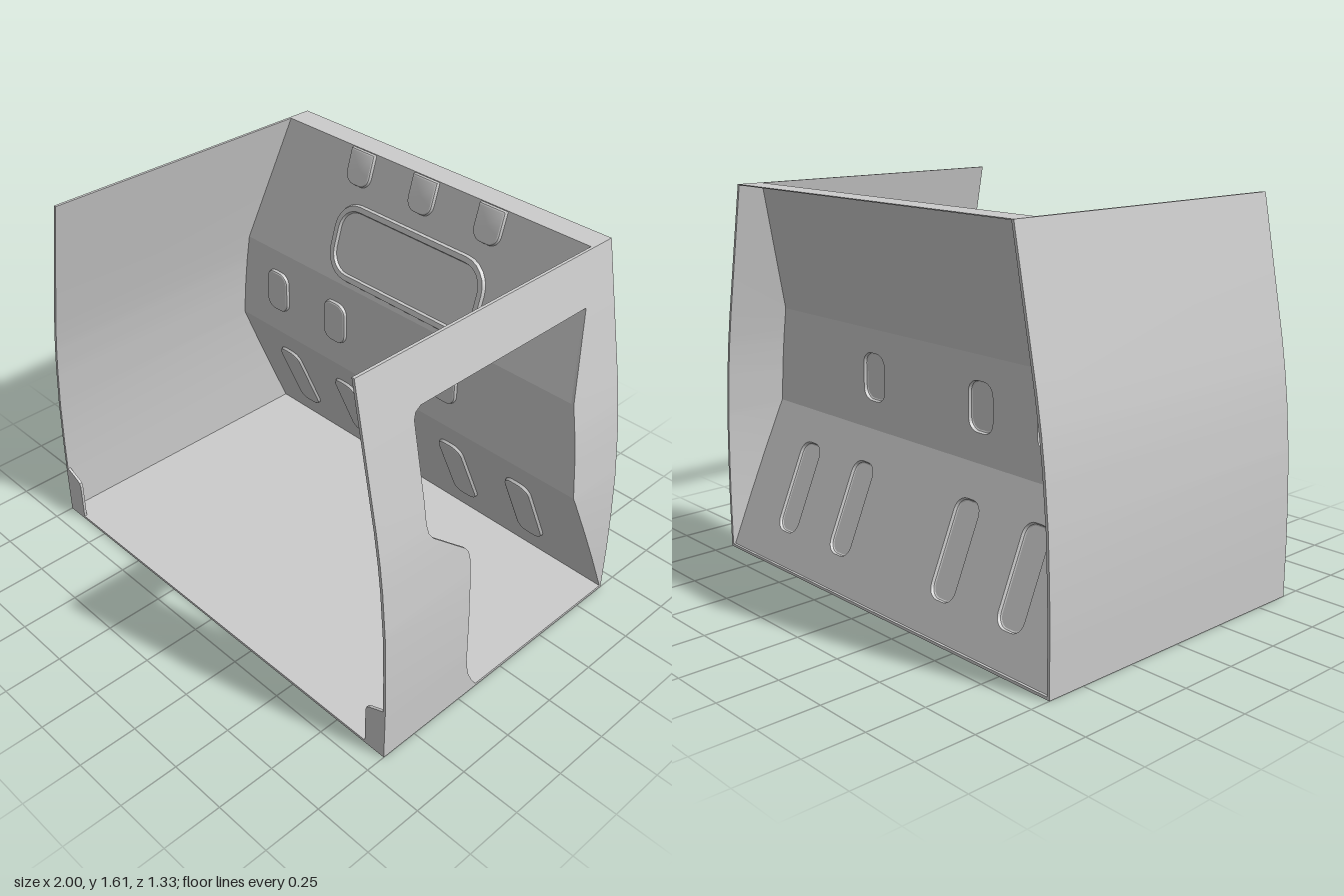
import * as THREE from 'three';
import { toCreasedNormals } from 'three/addons/utils/BufferGeometryUtils.js';

const D = 0.665;      // half depth
const H = 1.61;       // height
const T = 0.012;      // sheet thickness
const WALL = [[0, 1], [0.23, 1], [0.4, 0.996], [0.6, 0.987], [0.8, 0.968], [0.92, 0.952], [1.05, 0.93], [H, 0.817]];
const BACK = [[0, -0.66], [0.63, -0.39], [1.05, -0.39], [H, -0.557]];
const DOOR = [[0.012, 0.15], [0.05, 0.176], [0.1, 0.2], [0.15, 0.212], [0.2, 0.218], [0.69, 0.218], [0.73, 0.226],
  [0.755, 0.244], [0.89, 0.406], [0.92, 0.425], [0.96, 0.432], [1.36, 0.432], [1.385, 0.422], [1.4, 0.395]];

// piecewise linear lookup in a [y, value] profile
function at(profile, y) {
  let i = 1;
  while (i < profile.length - 1 && y > profile[i][0]) i++;
  const [a, b] = [profile[i - 1], profile[i]];
  return THREE.MathUtils.lerp(a[1], b[1], (y - a[0]) / (b[0] - a[0]));
}

// all profile heights between two levels
function levels(lo, hi) {
  const ys = [...WALL, ...BACK, ...DOOR].map((p) => p[0]).filter((y) => y > lo && y < hi);
  return [...new Set([lo, ...ys, hi])].sort((a, b) => a - b);
}

function indexed(pos, idx, crease) {
  const g = new THREE.BufferGeometry();
  g.setAttribute('position', new THREE.Float32BufferAttribute(pos, 3));
  g.setIndex(idx);
  return toCreasedNormals(g, crease);
}

// curved wall piece: side s, running from z0(y) to z1(y)
function wallPiece(s, lo, hi, z0, z1) {
  const pos = [], idx = [], ys = levels(lo, hi);
  const tri = (a, b, c) => (s > 0 ? idx.push(a, b, c) : idx.push(a, c, b));
  ys.forEach((y, j) => {
    const x = at(WALL, y), a = z0(y), b = z1(y);
    pos.push(s * x, y, a, s * x, y, b, s * (x - T), y, b, s * (x - T), y, a);
    if (!j) return;
    for (let k = 0; k < 4; k++) {
      const p = (j - 1) * 4 + k, q = (j - 1) * 4 + (k + 1) % 4;
      tri(p, q + 4, q);
      tri(p, p + 4, q + 4);
    }
  });
  const t = (ys.length - 1) * 4;
  tri(0, 1, 2); tri(0, 2, 3);
  tri(t, t + 2, t + 1); tri(t, t + 3, t + 2);
  return indexed(pos, idx, 0.6);
}

// point on the folded rear panel, raised by d along the normal of band i
function onPanel(i, x, y, d) {
  const [a, b] = [BACK[i], BACK[i + 1]];
  const len = Math.hypot(b[0] - a[0], b[1] - a[1]);
  const z = THREE.MathUtils.lerp(a[1], b[1], (y - a[0]) / (b[0] - a[0]));
  return [x, y - d * (b[1] - a[1]) / len, z + d * (b[0] - a[0]) / len];
}

// rounded rectangle outline, inset by e
function outline(o, e) {
  const pts = [], { x, y0, y1, w, r } = o, top = o.top ?? r;
  const corners = [[1, 1, top], [-1, 1, top], [-1, -1, r], [1, -1, r]];
  corners.forEach(([sx, sy, rad], q) => {
    const rr = Math.max(rad - e, 0.002);
    const cx = x + sx * (w / 2 - e - rr);
    const cy = sy > 0 ? y1 - e - rr : y0 + e + rr;
    for (let k = 0; k <= 6; k++) {
      const t = (q + k / 6) * Math.PI / 2;
      pts.push(new THREE.Vector2(cx + rr * Math.cos(t), cy + rr * Math.sin(t)));
    }
  });
  return pts;
}

// pressed form made of [inset, depth] rings, closed in the middle
function pressing(o, rings) {
  const pos = [], idx = [];
  let n = 0;
  rings.forEach(([e, d], r) => {
    const pts = outline(o, e);
    n = pts.length;
    pts.forEach((p, i) => {
      pos.push(...onPanel(o.band, p.x, p.y, d));
      if (!r) return;
      const a = (r - 1) * n + i, b = (r - 1) * n + (i + 1) % n;
      idx.push(a, b, b + n, a, b + n, a + n);
    });
  });
  const c = rings.length * n, base = c - n;
  pos.push(...onPanel(o.band, o.x, (o.y0 + o.y1) / 2, rings[rings.length - 1][1]));
  for (let i = 0; i < n; i++) idx.push(base + i, base + (i + 1) % n, c);
  return indexed(pos, idx, 0.5);
}

// flat band of the rear panel with openings for the pressings
function panelBand(i, forms) {
  const ys = levels(BACK[i][0], BACK[i + 1][0]);
  const edge = (s) => (y) => new THREE.Vector2(s * (at(WALL, y) - T / 2), y);
  const shape = new THREE.Shape([...ys.map(edge(1)), ...ys.slice().reverse().map(edge(-1))]);
  shape.holes = forms.map((o) => new THREE.Path(outline(o, 0)));
  const g = new THREE.ShapeGeometry(shape);
  const p = g.attributes.position;
  for (let k = 0; k < p.count; k++) p.setXYZ(k, ...onPanel(i, p.getX(k), p.getY(k), 0));
  g.computeVertexNormals();
  return g;
}

export function createModel() {
  const model = new THREE.Group();
  const solid = new THREE.MeshStandardMaterial({ color: 0xcccccc });
  const sheet = new THREE.MeshStandardMaterial({ color: 0xcccccc, side: THREE.DoubleSide });
  const add = (name, geometry, material = solid, parent = model) => {
    const m = new THREE.Mesh(geometry, material);
    m.name = name;
    parent.add(m);
    return m;
  };
  const group = (name) => {
    const g = new THREE.Group();
    g.name = name;
    model.add(g);
    return g;
  };

  add('floor', new THREE.BoxGeometry(2 - 2 * T, T, 2 * D)).position.y = T / 2;

  // closed right wall, and left wall around the doorway
  const front = () => D, rear = () => -D;
  add('rightWall', wallPiece(-1, 0, H, rear, front));
  const left = group('leftWall');
  add('doorSill', wallPiece(1, 0, 0.012, rear, front), solid, left);
  add('frontPost', wallPiece(1, 0.012, 1.4, (y) => at(DOOR, y), front), solid, left);
  add('rearPost', wallPiece(1, 0.012, 1.4, rear, (y) => at(BACK, y)), solid, left);
  add('doorHeader', wallPiece(1, 1.4, H, rear, front), solid, left);

  // folded rear panel with its pressings
  const slot = (band, x, y0, y1, extra) => ({ band, x, y0, y1, w: 0.135, r: 0.05, ...extra });
  const slots = [
    ...[-0.72, -0.35, 0.295, 0.665].map((x) => slot(0, x, 0.14, 0.505)),
    ...[-0.72, -0.35, 0.295].map((x) => slot(1, x, 0.75, 0.95)),
    ...[-0.35, 0, 0.35].map((x) => slot(2, x, 1.46, 1.607, { top: 0.003 })),
  ];
  const frame = { band: 2, x: -0.003, y0: 1.07, y1: 1.395, w: 0.83, r: 0.12 };
  const rearPanel = group('rearPanel');
  for (let i = 0; i < 3; i++) {
    add('panelBand', panelBand(i, [...slots, frame].filter((o) => o.band === i)), sheet, rearPanel);
  }
  slots.forEach((o) => add('pressedSlot', pressing(o, [[0, 0], [0.004, 0.012], [0.009, 0.015]]), sheet, rearPanel));
  add('windowPressing', pressing(frame, [[0, 0], [0.006, 0.014], [0.028, 0.014], [0.034, 0.002]]), sheet, rearPanel);

  // flange along the top of the rear panel
  const zTop = BACK[3][1];
  const flange = add('topFlange', new THREE.BoxGeometry(1.62, 0.004, D + zTop));
  flange.position.set(0, H - 0.002, (zTop - D) / 2);

  // small plates in the lower front corners
  for (const s of [1, -1]) {
    const pts = [[0.995, 0], [0.995, 0.24], [0.975, 0.232], [0.92, 0.208], [0.905, 0.198], [0.9, 0.18], [0.9, 0]];
    const shape = new THREE.Shape(pts.map(([x, y]) => new THREE.Vector2(s * x, y)));
    const plate = add('cornerPlate', new THREE.ExtrudeGeometry(shape, { depth: T, bevelEnabled: false }));
    plate.position.z = D - T;
  }
  return model;
}
